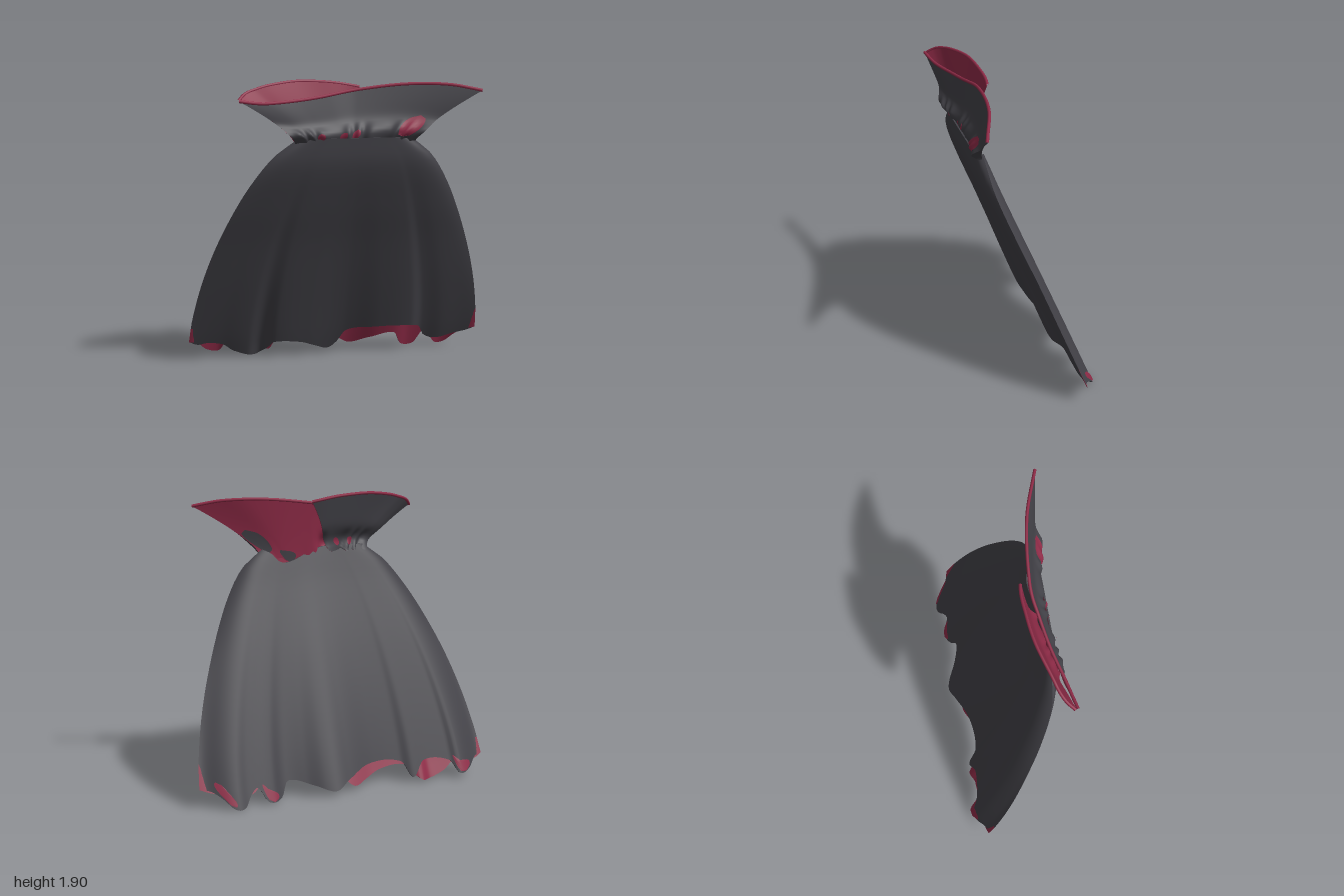
import * as THREE from 'three';

const dark = new THREE.MeshStandardMaterial({ color: 0x424147 });
dark.name = 'charcoal cloth';
const red = new THREE.MeshStandardMaterial({ color: 0x8f2b47 });
red.name = 'crimson lining';

const { lerp, smoothstep } = THREE.MathUtils;

// Smooth curve through [position, value] pairs
function curve(pts) {
  const slope = pts.map((p, i) => {
    const a = pts[Math.max(i - 1, 0)], b = pts[Math.min(i + 1, pts.length - 1)];
    return (b[1] - a[1]) / (b[0] - a[0]);
  });
  return (x) => {
    if (x <= pts[0][0]) return pts[0][1];
    const i = pts.findIndex((p) => p[0] >= x);
    if (i < 0) return pts[pts.length - 1][1];
    const [x0, y0] = pts[i - 1], [x1, y1] = pts[i], h = x1 - x0, t = (x - x0) / h;
    const t2 = t * t, t3 = t2 * t;
    return y0 * (2 * t3 - 3 * t2 + 1) + y1 * (3 * t2 - 2 * t3)
      + h * (slope[i - 1] * (t3 - 2 * t2 + t) + slope[i] * (t3 - t2));
  };
}

// Grid surface from point(u, s); faces +z when u runs along +x and s upwards
function grid(name, point, u0, u1, nu, nv, flip, mat) {
  const pos = [], idx = [];
  for (let j = 0; j <= nv; j++)
    for (let i = 0; i <= nu; i++) pos.push(...point(lerp(u0, u1, i / nu), j / nv));
  for (let j = 0; j < nv; j++)
    for (let i = 0; i < nu; i++) {
      const a = j * (nu + 1) + i, b = a + 1, c = a + nu + 1, d = c + 1;
      if (flip) idx.push(a, d, b, a, c, d);
      else idx.push(a, b, d, a, d, c);
    }
  const g = new THREE.BufferGeometry();
  g.setAttribute('position', new THREE.Float32BufferAttribute(pos, 3));
  g.setIndex(idx);
  g.computeVertexNormals();
  const m = new THREE.Mesh(g, mat);
  m.name = name;
  return m;
}

// Thick cloth: a front face, a back face and the four edges between them
function cloth(name, front, back, u0, u1, nu, nv, frontMat, backMat, edgeMat) {
  const group = new THREE.Group();
  group.name = name;
  const across = (u, s, t) => {
    const a = front(u, s), b = back(u, s);
    return a.map((v, k) => lerp(v, b[k], t));
  };
  group.add(
    grid(name + 'Front', front, u0, u1, nu, nv, false, frontMat),
    grid(name + 'Back', back, u0, u1, nu, nv, true, backMat),
    grid(name + 'Bottom', (u, t) => across(u, 0, t), u0, u1, nu, 1, true, edgeMat),
    grid(name + 'Top', (u, t) => across(u, 1, t), u0, u1, nu, 1, false, edgeMat),
    grid(name + 'Start', (t, s) => across(u0, s, 1 - t), 0, 1, 1, nv, false, edgeMat),
    grid(name + 'End', (t, s) => across(u1, s, t), 0, 1, 1, nv, false, edgeMat));
  return group;
}

// Cape silhouette and slope, by height
const halfWidth = curve([[0.13, 1], [0.3, 0.98], [0.55, 0.925], [0.8, 0.845], [1.05, 0.74],
  [1.25, 0.635], [1.42, 0.515], [1.49, 0.43], [1.54, 0.36]]);
const frontZ = curve([[0.02, -0.245], [0.17, -0.18], [0.5, -0.05], [0.84, 0.08], [1.1, 0.185],
  [1.37, 0.28], [1.54, 0.3]]);
const backZ = curve([[0, -0.365], [0.87, -0.015], [1.3, 0.155], [1.54, 0.24]]);

// Hem heights, neckline and hem folds across the width
const frontHem = curve([[-1, 0.13], [-0.94, 0.105], [-0.88, 0.115], [-0.77, 0.1], [-0.7, 0.05],
  [-0.55, 0.01], [-0.47, 0.06], [-0.43, 0.11], [-0.25, 0.1], [-0.14, 0.06], [-0.05, 0.03],
  [0.01, 0.07], [0.07, 0.16], [0.25, 0.185], [0.45, 0.19], [0.59, 0.165], [0.63, 0.09],
  [0.72, 0.06], [0.85, 0.09], [0.93, 0.105], [1, 0.13]]);
const backHem = curve([[-1, 0.13], [-0.94, 0.115], [-0.88, 0.06], [-0.79, 0.04], [-0.74, 0.12],
  [-0.55, 0.14], [-0.46, 0.04], [-0.4, 0.14], [-0.15, 0.16], [0.02, 0.09], [0.12, 0.04],
  [0.25, 0.08], [0.42, 0.12], [0.47, 0.03], [0.57, 0.02], [0.63, 0.11], [0.68, 0.08],
  [0.73, 0.01], [0.8, 0.01], [0.87, 0.075], [0.93, 0.115], [1, 0.13]]);
const frontFold = curve([[-1, -0.05], [-0.8, -0.04], [-0.6, -0.02], [-0.52, -0.05], [-0.42, 0.005],
  [-0.2, 0], [0, -0.04], [0.12, -0.035], [0.3, 0], [0.52, 0.005], [0.61, -0.045], [0.75, -0.04],
  [0.9, -0.05], [1, -0.05]]);
const backFold = curve([[-1, 0.08], [-0.93, 0.04], [-0.8, 0.005], [-0.74, 0.03], [-0.47, 0.05],
  [-0.38, 0.07], [-0.2, 0.055], [0, 0.01], [0.1, -0.01], [0.18, 0], [0.3, 0.04], [0.45, 0.06],
  [0.53, 0.035], [0.7, 0.02], [0.78, 0], [0.88, 0.02], [1, 0.08]]);
const neckline = curve([[-1, 1.54], [-0.2, 1.54], [0.1, 1.51], [0.45, 1.45], [0.75, 1.51], [1, 1.54]]);

// One face of a cape layer; all faces meet along the side edges
const capeFace = (hem, top, slopeZ, fold, inset) => (u, s) => {
  const y = lerp(hem(u), top(u), s);
  const z = slopeZ(y) + fold(u) * (1 - s) ** 1.6 + inset;
  return [u * halfWidth(y) + 0.03 * s ** 4, y, lerp(z, frontZ(y) - 0.045, Math.abs(u) ** 10)];
};
const [capeFront, capeFrontLining] = [0, -0.01].map((d) =>
  capeFace(frontHem, () => 1.54, frontZ, frontFold, d));
const [capeBack, capeBackLining] = [0, 0.01].map((d) =>
  capeFace(backHem, neckline, backZ, backFold, d));

// Collar rim, and how far the cupped half stands behind and above it
const rimY = curve([[-1, 1.785], [-0.8, 1.765], [-0.4, 1.785], [0, 1.835], [0.4, 1.868],
  [0.75, 1.865], [1, 1.83]]);
const rimZ = curve([[-1, 0.34], [-0.75, 0.3], [-0.5, 0.25], [-0.25, 0.215], [0, 0.19],
  [0.55, 0.24], [1, 0.35]]);
const cupLift = curve([[-1, 0], [-0.95, 0.04], [-0.88, 0.072], [-0.75, 0.103], [-0.5, 0.113],
  [-0.25, 0.08], [0.03, 0.01]]);
const cupGap = curve([[-1, 0], [-0.95, 0.035], [-0.85, 0.06], [-0.5, 0.075], [-0.25, 0.065],
  [0.03, 0.04]]);

function collarFront(u, s) {
  const gather = Math.max(0, 1 - s / 0.4);
  const crinkle = gather * 0.014 * Math.sin(26 * u + 2 * Math.sin(9 * u));
  const bulge = (0.03 + 0.02 * u * u) * Math.exp(-(((s - 0.2) / 0.16) ** 2));
  return [
    lerp(0.03 + 0.38 * u, 0.06 + 0.77 * u, Math.max(0, s) ** 1.35),
    lerp(1.51, rimY(u), s) + crinkle * 0.5,
    lerp(0.27, rimZ(u), s) + bulge + crinkle,
  ];
}

// Lining leans back from the gathers on the open half and drops to the neckline
function collarLining(u, s) {
  const p = collarFront(u, s), open = smoothstep(u, -0.25, 0.05);
  p[1] -= 0.05 * open * (1 - s) * Math.exp(-(((u - 0.45) / 0.3) ** 2));
  p[2] = lerp(p[2] - 0.006, lerp(0.222 + 0.04 * u * u, rimZ(u) - 0.004, s), open);
  return p;
}

const cupFace = (inset) => (t, s) => {
  const u = lerp(-1, lerp(-0.3, 0.03, Math.sqrt(s)), t);
  const p = collarFront(u, s);
  p[1] += cupLift(u) * s;
  p[2] -= cupGap(u) * s + 0.01 + 0.025 * (1 - s) + 0.03 * (1 - s) * (1 + u) + inset;
  return p;
};
const cupLining = cupFace(0), cupBack = cupFace(0.007);

// Piping along a collar rim
function rim(name, point, u0) {
  const pts = [];
  for (let i = 0; i <= 20; i++) pts.push(new THREE.Vector3(...point(lerp(u0, 1, i / 20), 1)));
  const m = new THREE.Mesh(
    new THREE.TubeGeometry(new THREE.CatmullRomCurve3(pts), 70, 0.01, 8), red);
  m.name = name;
  return m;
}

// Thin rounded scrap lying on a face, on its front (side 1) or back (side -1)
function scrap(name, surface, u, s, w, h, side, mat) {
  return grid(name, (a, b) => {
    const v = b * 2 - 1, spread = Math.sqrt(Math.max(0, 1 - v * v)) * w;
    const p = surface(u + a * spread + 0.02 * v, s + h * v);
    p[2] += 0.008 * side;
    return p;
  }, -1, 1, 8, 8, side < 0, mat);
}

export function createModel() {
  const model = new THREE.Group();
  model.name = 'cape';

  // Two hanging layers, dark outside and lined inside
  model.add(
    cloth('capeFront', capeFront, capeFrontLining, -1, 1, 140, 28, dark, red, dark),
    cloth('capeBack', capeBackLining, capeBack, -1, 1, 140, 28, red, dark, dark));

  // Turned-out hem lips on the back layer
  [[0.85, 0.06], [0.55, 0.05], [-0.82, 0.06]].forEach(([u, w]) =>
    model.add(scrap('hemLip', capeBack, u, 0.03, w, 0.026, -1, red)));

  // Flared collar: a full front layer and a cupped half layer behind it
  model.add(
    cloth('collarFront', collarFront, collarLining, -1, 1, 110, 20, dark, red, dark),
    cloth('collarCup', cupLining, cupBack, 0, 1, 60, 20, red, dark, red),
    rim('frontRim', collarFront, -1), rim('cupRim', cupBack, 0));

  // Lining showing through the gathers at the neck
  model.add(scrap('neckFold', collarFront, 0.76, 0.28, 0.14, 0.19, 1, red));
  [[-0.55, 0.14], [-0.2, 0.13], [0, 0.16]].forEach(([u, s]) =>
    model.add(scrap('neckGather', collarFront, u, s, 0.06, 0.09, 1, red)));
  [0.45, 0.75].forEach((t) =>
    model.add(scrap('cupGather', cupBack, t, 0.16, 0.06, 0.08, -1, red)));

  // Dark turned-over flaps behind the neck
  model.add(
    scrap('neckFlap', collarLining, 0.85, 0.26, 0.14, 0.22, -1, dark),
    scrap('necklineFlap', collarLining, 0.48, 0.08, 0.13, 0.09, -1, dark));
  return model;
}
